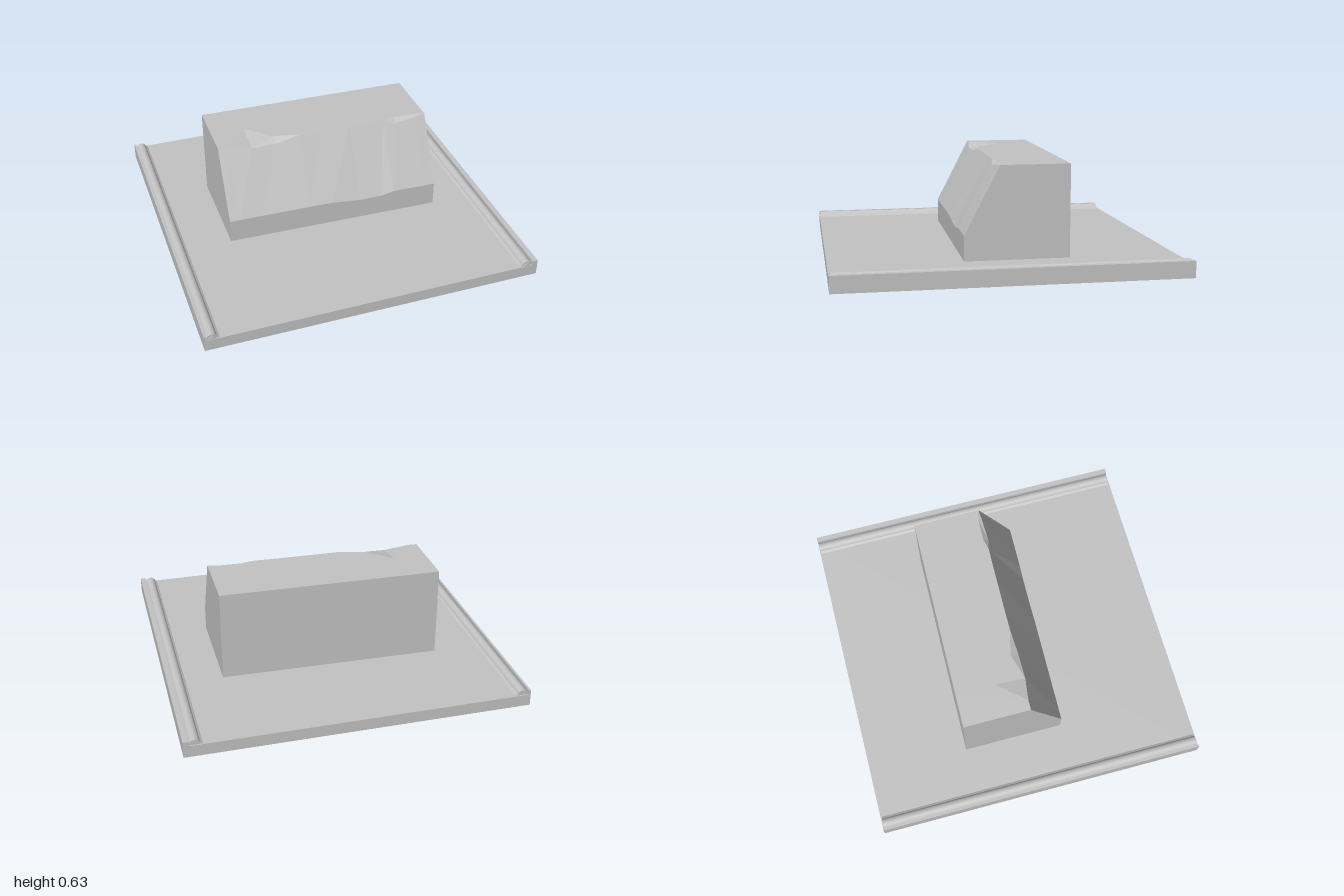
import * as THREE from 'three';

const grey = new THREE.MeshStandardMaterial({ color: 0xc4c4c4, flatShading: true });
grey.name = 'plain grey';
const smoothGrey = new THREE.MeshStandardMaterial({ color: 0xc4c4c4 });
smoothGrey.name = 'smooth grey';

function add(parent, name, geometry, material = grey) {
  const mesh = new THREE.Mesh(geometry, material);
  mesh.name = name;
  parent.add(mesh);
  return mesh;
}

// Block lofted along x, with a sloped front and chipped upper edge
function blockGeometry() {
  // x, chip z, lip y, lip z, height of the slope's foot
  const stations = [
    [-0.64, 0.004, 0.63, 0.006, 0.235],
    [-0.58, 0.005, 0.63, 0.008, 0.235],
    [-0.44, -0.155, 0.604, 0.028, 0.235],
    [-0.29, -0.02, 0.604, 0.028, 0.235],
    [-0.14, 0.016, 0.63, 0.018, 0.235],
    [0.0, 0.018, 0.63, 0.02, 0.235],
    [0.18, 0.022, 0.63, 0.024, 0.216],
    [0.32, 0.025, 0.63, 0.027, 0.218],
    [0.40, 0.028, 0.63, 0.03, 0.235],
    [0.47, 0.014, 0.605, 0.045, 0.235],
    [0.61, 0.018, 0.622, 0.04, 0.235],
    [0.67, 0.033, 0.63, 0.035, 0.235],
  ];
  const positions = [];
  const index = [];
  for (const [x, chipZ, lipY, lipZ, footY] of stations) {
    const t = (x + 0.64) / 1.31;
    const front = 0.21 + 0.03 * t;
    const back = -0.395 + 0.025 * t;
    positions.push(
      x, 0, front, x, 0, back, x, 0.63, back,
      x, 0.63, chipZ, x, lipY, lipZ, x, footY, front,
    );
  }
  for (let i = 0; i < stations.length - 1; i++) {
    for (let j = 0; j < 6; j++) {
      const a = i * 6 + j, b = i * 6 + (j + 1) % 6;
      index.push(a, b, a + 6, b, b + 6, a + 6);
    }
  }
  const last = (stations.length - 1) * 6;
  for (let j = 1; j < 5; j++) {
    index.push(0, j + 1, j, last, last + j, last + j + 1);
  }
  const indexed = new THREE.BufferGeometry();
  indexed.setAttribute('position', new THREE.Float32BufferAttribute(positions, 3));
  indexed.setIndex(index);
  const geometry = indexed.toNonIndexed();
  geometry.computeVertexNormals();
  return geometry;
}

// Extrude an outline drawn in x and y along z, centred
function extrudeZ(shape, length) {
  return new THREE.ExtrudeGeometry(shape, { depth: length, bevelEnabled: false, curveSegments: 10 })
    .translate(0, 0, -length / 2);
}

function arch(cx, bottom, top, radius) {
  const shape = new THREE.Shape();
  shape.moveTo(cx - radius, bottom);
  shape.lineTo(cx + radius, bottom);
  shape.lineTo(cx + radius, top - radius);
  shape.absarc(cx, top - radius, radius, 0, Math.PI);
  shape.closePath();
  return shape;
}

function edgeRail(side) {
  const rail = new THREE.Group();
  rail.name = side > 0 ? 'leftRail' : 'rightRail';
  const centre = side > 0 ? 0.935 : -0.955;
  const radius = 0.032;

  // Rounded bead running the full depth
  add(rail, 'bead', extrudeZ(arch(centre, 0.025, 0.12, radius), 1.985), smoothGrey);

  // Raised strip between the bead and the outer edge
  const inner = Math.abs(centre) + radius;
  const width = 1 - inner;
  const strip = add(rail, 'outerStrip', new THREE.BoxGeometry(width, 0.097, 2));
  strip.position.set(side * (inner + width / 2), 0.0685, 0);

  // Low fillet on the inner side of the bead
  const x0 = Math.abs(centre) - radius;
  const fillet = new THREE.Shape([
    new THREE.Vector2(side * (x0 + 0.004), 0.08),
    new THREE.Vector2(side * (x0 + 0.004), 0.1),
    new THREE.Vector2(side * (x0 - 0.012), 0.09),
    new THREE.Vector2(side * (x0 - 0.012), 0.08),
  ]);
  add(rail, 'innerFillet', extrudeZ(fillet, 1.985));

  // Small arched plug on the front end
  const plug = add(rail, 'endPlug', extrudeZ(arch(centre, 0.035, 0.105, 0.02), 0.006), smoothGrey);
  plug.position.z = 0.995;
  return rail;
}

export function createModel() {
  const model = new THREE.Group();
  model.name = 'blockOnBase';

  const base = add(model, 'basePlate', new THREE.BoxGeometry(2, 0.07, 2));
  base.position.y = 0.055;

  add(model, 'slopedBlock', blockGeometry());
  for (const side of [-1, 1]) model.add(edgeRail(side));
  return model;
}
